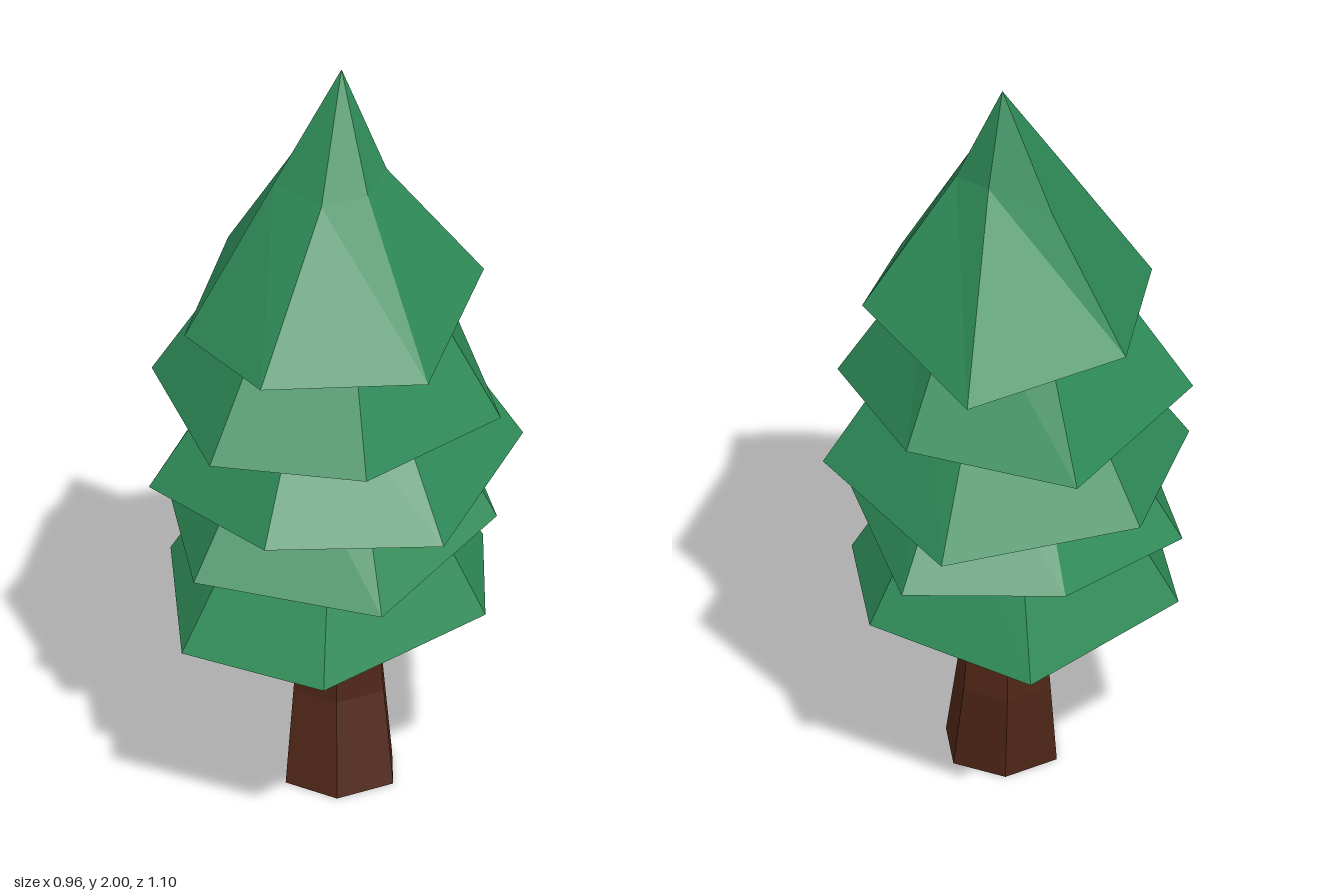
import * as THREE from 'three';

const leafMaterial = new THREE.MeshStandardMaterial({ color: 0x2e8b57, flatShading: true, side: THREE.DoubleSide });
const barkMaterial = new THREE.MeshStandardMaterial({ color: 0x4f2617, flatShading: true });

// Joins rings of [x, y, z] points (bottom to top, counter-clockwise from above) into a faceted surface.
function loft(rings, capBottom) {
  const pos = [];
  const tri = (a, b, c) => pos.push(...a, ...b, ...c);
  for (let r = 0; r < rings.length - 1; r++) {
    const lo = rings[r], hi = rings[r + 1], n = lo.length;
    for (let i = 0; i < n; i++) {
      const j = (i + 1) % n;
      tri(lo[i], lo[j], hi[i % hi.length]);
      if (hi.length > 1) tri(lo[j], hi[j], hi[i]); // a one-point ring is an apex
    }
  }
  if (capBottom) {
    const b = rings[0];
    for (let i = 1; i < b.length - 1; i++) tri(b[0], b[i + 1], b[i]);
  }
  const geo = new THREE.BufferGeometry();
  geo.setAttribute('position', new THREE.Float32BufferAttribute(pos, 3));
  geo.computeVertexNormals();
  return geo;
}

// Lower branch tiers: uneven six-sided rims, hollow underneath
const lowerRims = {
  bottomTier: [[-0.04, 0.51, 0.55], [0.38, 0.525, 0.17], [0.38, 0.54, -0.24], [0, 0.525, -0.55], [-0.42, 0.53, -0.2], [-0.4, 0.51, 0.34]],
  lowerTier: [[0.11, 0.69, 0.49], [0.41, 0.79, 0.13], [0.32, 0.75, -0.44], [-0.1, 0.73, -0.46], [-0.43, 0.72, -0.2], [-0.37, 0.73, 0.37]],
  middleTier: [[-0.19, 0.86, 0.44], [0.27, 0.84, 0.39], [0.48, 0.93, -0.06], [0.23, 0.9, -0.55], [-0.3, 0.88, -0.39], [-0.48, 0.86, 0.09]],
  upperTier: [[0.07, 1.1, 0.52], [0.42, 1.08, 0.14], [0.3, 1.14, -0.37], [-0.12, 1.11, -0.55], [-0.47, 1.11, -0.09], [-0.33, 1.1, 0.43]],
};

// Top tier: rim and a slightly pinched ring below the tip
const topRim = [[-0.2, 1.33, 0.45], [0.23, 1.3, 0.37], [0.38, 1.4, -0.07], [0.16, 1.35, -0.52], [-0.27, 1.36, -0.33], [-0.39, 1.325, 0.14]];
const topPinch = [[-0.04, 1.72, 0.19], [0.08, 1.72, 0.13], [0.13, 1.73, 0], [0.06, 1.76, -0.12], [-0.1, 1.7, -0.17], [-0.16, 1.71, 0.04]];
const tip = [0.015, 2, -0.035];

// Trunk outline and its [height, z offset, scale] steps
const trunkOutline = [[0, 0.165], [0.145, 0.085], [0.145, -0.085], [0.02, -0.165], [-0.12, -0.095], [-0.13, 0.075]];
const trunkSteps = [[0, 0.015, 1], [0.24, -0.027, 0.84], [0.55, -0.022, 0.66], [0.85, -0.02, 0.5], [1, -0.02, 0]];

export function createModel() {
  const group = new THREE.Group();
  const add = (name, geo, mat) => {
    const mesh = new THREE.Mesh(geo, mat);
    mesh.name = name;
    group.add(mesh);
  };

  add('trunk', loft(trunkSteps.map(([y, dz, s]) =>
    s ? trunkOutline.map(([x, z]) => [x * s, y, z * s + dz]) : [[0, y, dz]]), true), barkMaterial);

  for (const [name, rim] of Object.entries(lowerRims)) {
    const y = rim.reduce((sum, p) => sum + p[1], 0) / rim.length;
    const neck = rim.map(([px, py, pz]) => [px * 0.45, py + 0.4, pz * 0.45 - 0.01]);
    add(name, loft([rim, neck, [[0, y + 0.6, -0.02]]]), leafMaterial);
  }

  add('topTier', loft([topRim, topPinch, [tip]]), leafMaterial);
  return group;
}
